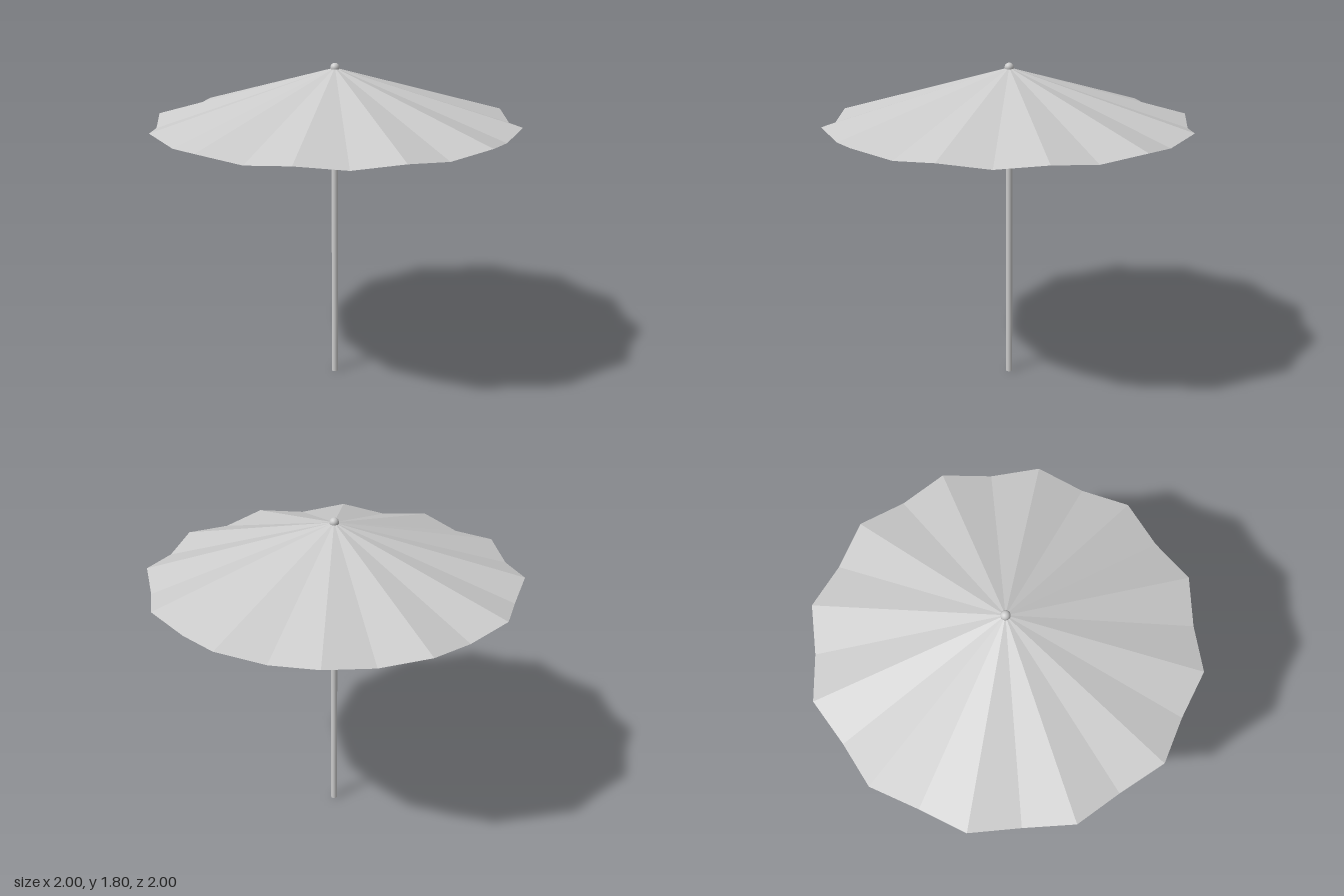
import * as THREE from 'three';

const APEX = 1.78, RIBS = 12;

export function createModel() {
  const group = new THREE.Group();
  const smooth = new THREE.MeshStandardMaterial({ color: 0xcccccc });
  const cloth = new THREE.MeshStandardMaterial({ color: 0xcccccc, flatShading: true, side: THREE.DoubleSide });
  const add = (name, geometry, material, y) => {
    const mesh = new THREE.Mesh(geometry, material);
    mesh.name = name;
    mesh.position.y = y;
    group.add(mesh);
  };

  // Pole
  add('pole', new THREE.CylinderGeometry(0.018, 0.018, APEX, 16), smooth, APEX / 2);

  // Canopy: an open cone whose rim is pulled in and down between the ribs
  const height = APEX - 1.495;
  const canopy = new THREE.ConeGeometry(1, height, RIBS * 2, 1, true);
  const pos = canopy.attributes.position;
  for (let i = 0; i < pos.count; i++) {
    if (pos.getY(i) > 0) continue;
    const angle = Math.atan2(pos.getX(i), pos.getZ(i));
    const step = Math.round(angle / (Math.PI / RIBS));
    if (step % 2 !== 0) {
      pos.setXYZ(i, pos.getX(i) * 0.957, pos.getY(i) - 0.028, pos.getZ(i) * 0.957);
    }
  }
  canopy.computeVertexNormals();
  add('canopy', canopy, cloth, APEX - height / 2);

  // Finial
  add('finial', new THREE.SphereGeometry(0.025, 16, 12), smooth, APEX);

  return group;
}
